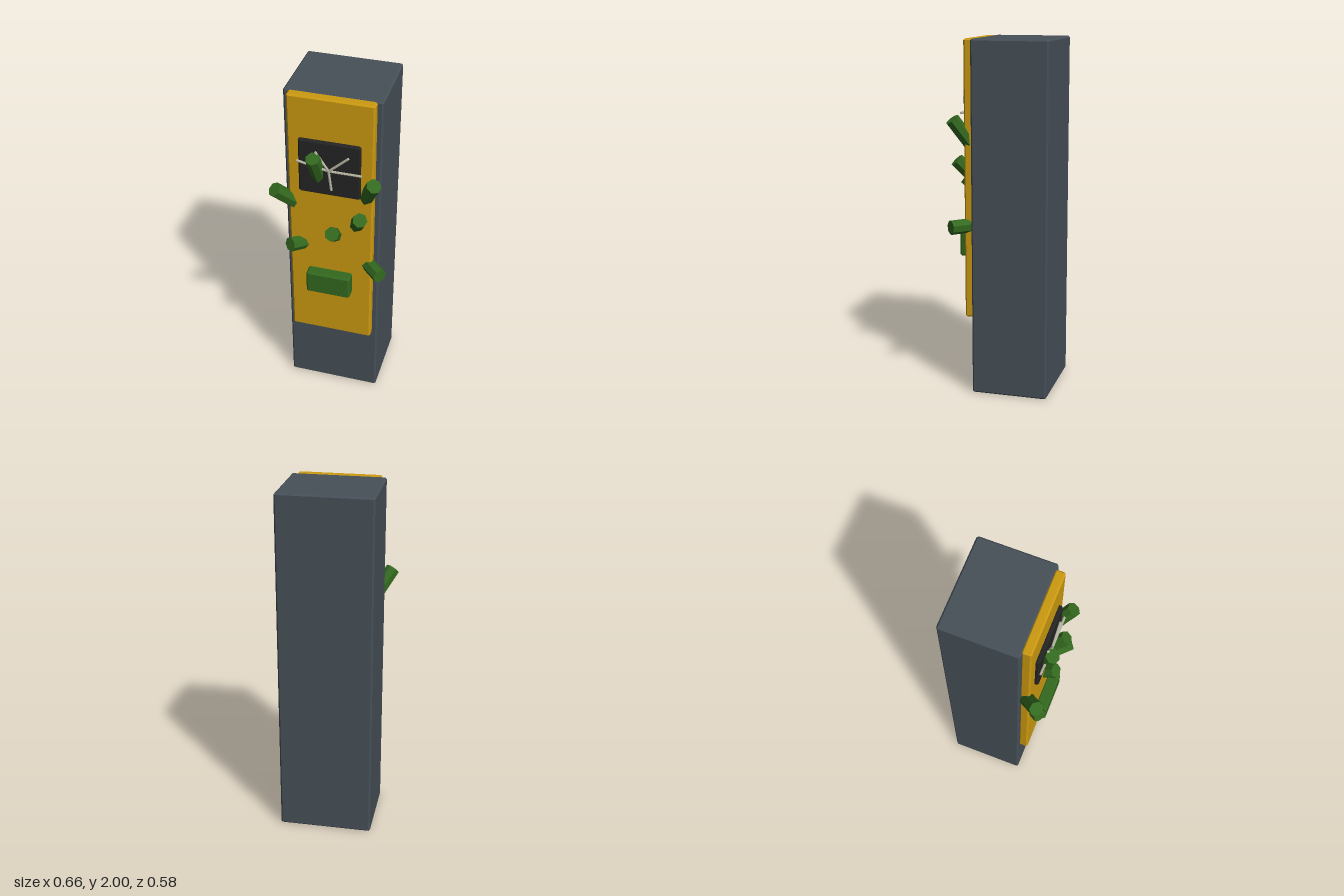
import * as THREE from 'three';
import { ConvexGeometry } from 'three/addons/geometries/ConvexGeometry.js';

const mat = (name, color, flatShading = true) => {
  const m = new THREE.MeshStandardMaterial({ color, flatShading });
  m.name = name;
  return m;
};

// Box with cut edges, given by its limits on each axis
function chamferBox([x0, x1], [y0, y1], [z0, z1], c) {
  const h = [(x1 - x0) / 2, (y1 - y0) / 2, (z1 - z0) / 2];
  const pts = [];
  for (const sx of [-1, 1]) for (const sy of [-1, 1]) for (const sz of [-1, 1]) {
    for (let axis = 0; axis < 3; axis++) {
      const [x, y, z] = h.map((v, i) => (i === axis ? v : v - c));
      pts.push(new THREE.Vector3(sx * x, sy * y, sz * z));
    }
  }
  return new ConvexGeometry(pts).translate((x0 + x1) / 2, (y0 + y1) / 2, (z0 + z1) / 2);
}

// Straight rod between two points
function rod(a, b, radius, sides) {
  const dir = b.clone().sub(a);
  const geo = new THREE.CylinderGeometry(radius, radius, dir.length(), sides);
  geo.applyQuaternion(new THREE.Quaternion().setFromUnitVectors(
    new THREE.Vector3(0, 1, 0), dir.clone().normalize()));
  const mid = a.clone().add(b).multiplyScalar(0.5);
  return geo.translate(mid.x, mid.y, mid.z);
}

export function createModel() {
  const model = new THREE.Group();
  model.name = 'lockerCabinet';
  const steel = mat('slate steel', 0x465058);
  const yellow = mat('amber panel', 0xcc9a10);
  const black = mat('black screen', 0x242424);
  const green = mat('leaf green', 0x33691f);
  const pale = mat('pale crack', 0xb5b3a0);
  const add = (name, geo, material, parent = model) => {
    const mesh = new THREE.Mesh(geo, material);
    mesh.name = name;
    parent.add(mesh);
  };

  // Main body, front panel, screen and slot block
  add('cabinet', chamferBox([-0.265, 0.265], [0, 2], [-0.29, 0.142], 0.009), steel);
  add('frontPanel', chamferBox([-0.235, 0.235], [0.44, 2], [0.135, 0.19], 0.009), yellow);
  add('screen', chamferBox([-0.17, 0.168], [1.43, 1.757], [0.185, 0.212], 0.008), black);
  add('slotBlock', chamferBox([-0.128, 0.124], [0.765, 0.905], [0.185, 0.255], 0.009), green);

  // Cracks spreading from the middle of the screen: angle in degrees, length
  const cracks = new THREE.Group();
  cracks.name = 'cracks';
  model.add(cracks);
  const centre = new THREE.Vector3(0, 1.593, 0.222);
  for (const [deg, length] of [[0, 0.18], [42, 0.145], [124, 0.13], [168, 0.18], [277, 0.12]]) {
    const a = THREE.MathUtils.degToRad(deg);
    const end = centre.clone().add(new THREE.Vector3(Math.cos(a), Math.sin(a), 0).multiplyScalar(length));
    add('crack', rod(centre, end, 0.007, 6), pale, cracks);
  }

  // Stubby stems growing out of the panel: tip position, direction
  const stems = new THREE.Group();
  stems.name = 'stems';
  model.add(stems);
  const stemData = [
    [-0.077, 1.675, -0.08, 0.9, 0.43],
    [-0.295, 1.44, -0.46, 0.7, 0.54],
    [0.252, 1.565, 0.33, 0.8, 0.5],
    [0.18, 1.33, 0.29, 0.72, 0.63],
    [0.024, 1.205, 0.03, 0.61, 0.79],
    [-0.217, 1.082, -0.55, 0.25, 0.8],
    [0.297, 0.97, 0.71, 0, 0.71],
  ];
  for (const [x, y, dx, dy, dz] of stemData) {
    const tip = new THREE.Vector3(x, y, 0.25);
    const dir = new THREE.Vector3(dx, dy, dz).normalize();
    add('stem', rod(tip.clone().addScaledVector(dir, -0.22), tip, 0.041, 7), green, stems);
  }
  return model;
}
